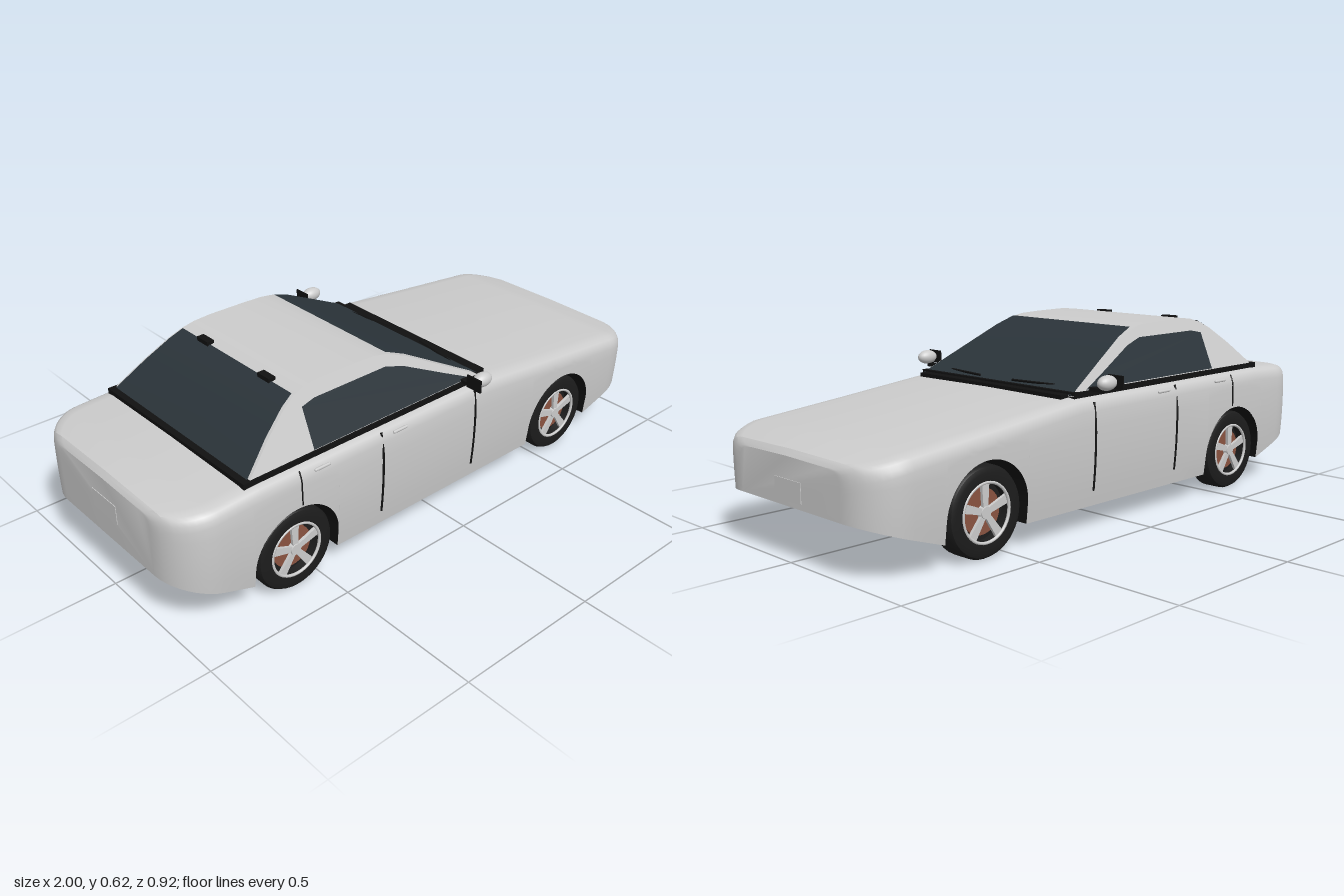
import * as THREE from 'three';
import { toCreasedNormals } from 'three/addons/utils/BufferGeometryUtils.js';

const mat = (color, side = THREE.FrontSide) => new THREE.MeshStandardMaterial({ color, side });
const grey = mat(0xcccccc), black = mat(0x111111, THREE.DoubleSide), rubber = mat(0x1c1c1c);
const glass = mat(0x2b343a, THREE.DoubleSide), brake = mat(0x8a5340);

const WHEEL_X = [-0.594, 0.59], WHEEL_Y = 0.139, ARCH = 0.157;

// piecewise linear profile y(x)
const profile = (pts) => (x) => {
  for (let i = 1; i < pts.length; i++) {
    const [x0, y0] = pts[i - 1], [x1, y1] = pts[i];
    if (x <= x1) return y0 + (y1 - y0) * (x - x0) / (x1 - x0);
  }
  return pts[pts.length - 1][1];
};
const topY = profile([[-1, 0.385], [-0.985, 0.403], [-0.9, 0.415], [-0.72, 0.424], [0.2, 0.422],
  [0.55, 0.384], [0.88, 0.35], [0.985, 0.326], [1, 0.308]]);
const floorY = profile([[-1, 0.18], [-0.72, 0.075], [0.74, 0.075], [1, 0.165]]);

// bottom edge of the side panels, raised over the wheels
const lowY = (x) => {
  for (const c of WHEEL_X) {
    const d = Math.abs(x - c);
    if (d <= ARCH + 1e-6) return WHEEL_Y + Math.sqrt(Math.max(0, ARCH * ARCH - d * d));
  }
  return floorY(x);
};

// half width: rounded corners in plan, slight bulge in height
const halfWidth = (x) => {
  const r = 0.14, k = Math.max(0, 1 - (1 - Math.abs(x)) / r);
  return 0.394 - 0.145 * (1 - Math.sqrt(Math.max(0, 1 - k * k)));
};
const sideZ = (x, y) => halfWidth(x) - 0.014 * ((y - 0.29) / 0.21) ** 2;

// stations along the length, dense at the corners and arches
function stations() {
  const xs = [-0.8, -0.76, -0.72, -0.3, -0.1, 0.1, 0.2, 0.3, 0.4, 0.76, 0.8];
  for (let i = 0; i <= 10; i++) {
    const d = 1 - 0.14 * (1 - Math.cos(i / 10 * Math.PI / 2));
    xs.push(d, -d);
  }
  for (const c of WHEEL_X) {
    xs.push(c - ARCH - 0.0005, c + ARCH + 0.0005);
    for (let i = 0; i <= 24; i++) xs.push(c - ARCH * Math.cos(i / 24 * Math.PI));
  }
  return xs.sort((a, b) => a - b);
}

// skin cross-sections section(x) -> [[z, y], ...] along x
function loft(xs, section, capped, crease = 0.6) {
  const pos = [], idx = [];
  let n = 0;
  for (const x of xs) {
    const s = section(x);
    n = s.length;
    for (const [z, y] of s) pos.push(x, y, z);
  }
  for (let i = 0; i < xs.length - 1; i++) for (let j = 0; j < n - 1; j++) {
    const a = i * n + j, b = a + n;
    idx.push(a, b, a + 1, b, b + 1, a + 1);
  }
  if (capped) {
    const e = (xs.length - 1) * n;
    for (let j = 1; j < n - 1; j++) idx.push(0, j, j + 1, e, e + j + 1, e + j);
  }
  const g = new THREE.BufferGeometry();
  g.setAttribute('position', new THREE.Float32BufferAttribute(pos, 3));
  g.setIndex(idx);
  return toCreasedNormals(g, crease);
}

function bodySection(x) {
  const low = lowY(x), t = topY(x), half = [];
  for (let i = 0; i <= 6; i++) {
    const y = low + (t - 0.045 - low) * i / 6;
    half.push([sideZ(x, y), y]);
  }
  const w = sideZ(x, t - 0.045);
  half.push([w - 0.004, t - 0.026], [w - 0.013, t - 0.012], [w - 0.028, t - 0.004], [w - 0.06, t]);
  return [...half, [0, t + 0.003], ...half.map(([z, y]) => [-z, y]).reverse()];
}

// floor pan with the wheel wells folded into it
function floorSection(x) {
  const low = lowY(x), w = sideZ(x, low) - 0.001, inner = Math.min(0.26, w), f = floorY(x);
  return [[-w, low], [-inner, low], [-inner, f], [inner, f], [inner, low], [w, low]];
}

// cabin sides lean inwards
const cabinZ = (y) => 0.358 - (y - 0.43) * 0.43;
const REAR = [[-0.745, 0.425], [-0.64, 0.515], [-0.56, 0.573], [-0.515, 0.597]];
const FRONT = [[-0.15, 0.602], [-0.08, 0.575], [0.05, 0.508], [0.21, 0.425]];

function cabinGeometry() {
  const pts = [...REAR, [-0.47, 0.61], [-0.41, 0.615], [-0.28, 0.614], [-0.2, 0.611], ...FRONT];
  const shape = new THREE.Shape(pts.map(([x, y]) => new THREE.Vector2(x, y)));
  const g = new THREE.ExtrudeGeometry(shape, { depth: 2, steps: 1, bevelEnabled: false });
  const p = g.attributes.position;
  for (let i = 0; i < p.count; i++) p.setZ(i, (p.getZ(i) - 1) * cabinZ(p.getY(i)));
  g.deleteAttribute('normal');
  return toCreasedNormals(g, 0.5);
}

// glass laid over a run of the cabin outline
function screenGeometry(pts) {
  const y = profile(pts);
  return loft(pts.map((p) => p[0]), (x) => {
    const z = cabinZ(y(x)) - 0.009;
    return [[z, y(x) + 0.004], [-z, y(x) + 0.004]];
  }, false);
}

function sideWindowGeometry(s) {
  const pts = [[-0.5, 0.44], [-0.5, 0.562], [-0.45, 0.572], [-0.17, 0.572], [-0.1, 0.552], [0.05, 0.484], [0.15, 0.44]];
  const g = new THREE.ShapeGeometry(new THREE.Shape(pts.map(([x, y]) => new THREE.Vector2(x, y))));
  const p = g.attributes.position;
  for (let i = 0; i < p.count; i++) p.setZ(i, s * (cabinZ(p.getY(i)) + 0.003));
  g.computeVertexNormals();
  return g;
}

function add(parent, name, geo, material, x = 0, y = 0, z = 0) {
  const m = new THREE.Mesh(geo, material);
  m.name = name;
  m.position.set(x, y, z);
  parent.add(m);
  return m;
}
const box = (a, b, c) => new THREE.BoxGeometry(a, b, c);

// wheel with its outer face towards +z
function wheel() {
  const g = new THREE.Group();
  g.name = 'wheel';
  const lathe = (pts) => toCreasedNormals(
    new THREE.LatheGeometry(pts.map(([r, h]) => new THREE.Vector2(r, h)), 40).rotateX(Math.PI / 2), 0.6);
  add(g, 'tyre', lathe([[0, -0.047], [0.118, -0.047], [0.132, -0.042], [0.139, -0.03], [0.139, 0.03],
    [0.132, 0.042], [0.118, 0.047], [0.092, 0.045], [0.088, 0.012], [0, 0.012]]), rubber);
  add(g, 'rim', new THREE.TorusGeometry(0.089, 0.005, 8, 40), grey, 0, 0, 0.043);
  add(g, 'brakeDisc', new THREE.CylinderGeometry(0.07, 0.07, 0.008, 32).rotateX(Math.PI / 2), brake, 0, 0, 0.018);
  add(g, 'hub', new THREE.CylinderGeometry(0.018, 0.022, 0.016, 20).rotateX(Math.PI / 2), grey, 0, 0, 0.036);
  const spoke = new THREE.Shape([[-0.009, 0.01], [0.009, 0.01], [0.014, 0.088], [-0.014, 0.088]]
    .map(([x, y]) => new THREE.Vector2(x, y)));
  const spokeGeo = new THREE.ExtrudeGeometry(spoke, { depth: 0.01, bevelEnabled: false });
  for (let i = 0; i < 5; i++) add(g, 'spoke', spokeGeo, grey, 0, 0, 0.031).rotation.z = i * Math.PI * 2 / 5;
  return g;
}

export function createModel() {
  const car = new THREE.Group();
  car.name = 'car';
  const xs = stations();
  add(car, 'body', loft(xs, bodySection, true), grey);
  add(car, 'underbody', loft(xs, floorSection, false, 0.3), black);

  // cabin, glass and trim
  add(car, 'cabin', cabinGeometry(), grey);
  add(car, 'windscreen', screenGeometry(FRONT), glass);
  add(car, 'rearWindow', screenGeometry(REAR), glass);
  add(car, 'beltTrim', box(0.965, 0.022, 0.722), black, -0.275, 0.426, 0);
  add(car, 'cowl', box(0.04, 0.014, 0.67), black, 0.22, 0.424, 0);

  for (const s of [1, -1]) {
    add(car, 'sideWindow', sideWindowGeometry(s), glass);
    add(car, 'rearWindowHinge', box(0.025, 0.014, 0.055), black, -0.512, 0.604, s * 0.155);
    const wiper = add(car, 'wiper', box(0.005, 0.006, 0.17), black, 0.185, 0.446, -0.16 * s);
    wiper.rotation.set(0, s * 0.14, -0.48);

    // door seams and handles
    for (const [x, y0, y1, w] of [[-0.26, 0.125, 0.412, 0.008], [0.145, 0.125, 0.405, 0.008], [-0.577, 0.302, 0.412, 0.005]]) {
      const seam = new THREE.CatmullRomCurve3([0, 0.25, 0.5, 0.75, 1].map((t) => {
        const y = y0 + (y1 - y0) * t;
        return new THREE.Vector3(x, y, s * (sideZ(x, Math.min(y, 0.38)) - Math.max(0, y - 0.395) * 0.6));
      }));
      add(car, 'doorSeam', new THREE.TubeGeometry(seam, 12, w / 2, 6), black);
    }
    for (const x of [-0.5, -0.19]) {
      add(car, 'doorHandle', new THREE.CapsuleGeometry(0.005, 0.05, 4, 10).rotateZ(Math.PI / 2), grey, x, 0.4, s * 0.393);
    }

    // door mirror
    const mirror = new THREE.Group();
    mirror.name = 'mirror';
    add(mirror, 'mirrorShell', new THREE.SphereGeometry(1, 24, 16), grey, 0.132, 0.467, s * 0.426).scale.set(0.038, 0.024, 0.024);
    add(mirror, 'mirrorGlass', box(0.005, 0.043, 0.06), black, 0.093, 0.466, s * 0.428);
    add(mirror, 'mirrorArm', box(0.025, 0.012, 0.07), black, 0.122, 0.44, s * 0.387);
    car.add(mirror);

    for (const x of WHEEL_X) {
      const w = wheel();
      w.position.set(x, WHEEL_Y, s * 0.334);
      if (s < 0) w.rotation.y = Math.PI;
      car.add(w);
    }
  }

  // number plates
  add(car, 'frontPlate', box(0.006, 0.063, 0.13), grey, 0.999, 0.213, 0);
  add(car, 'rearPlate', box(0.006, 0.063, 0.13), grey, -0.999, 0.29, 0);
  return car;
}
